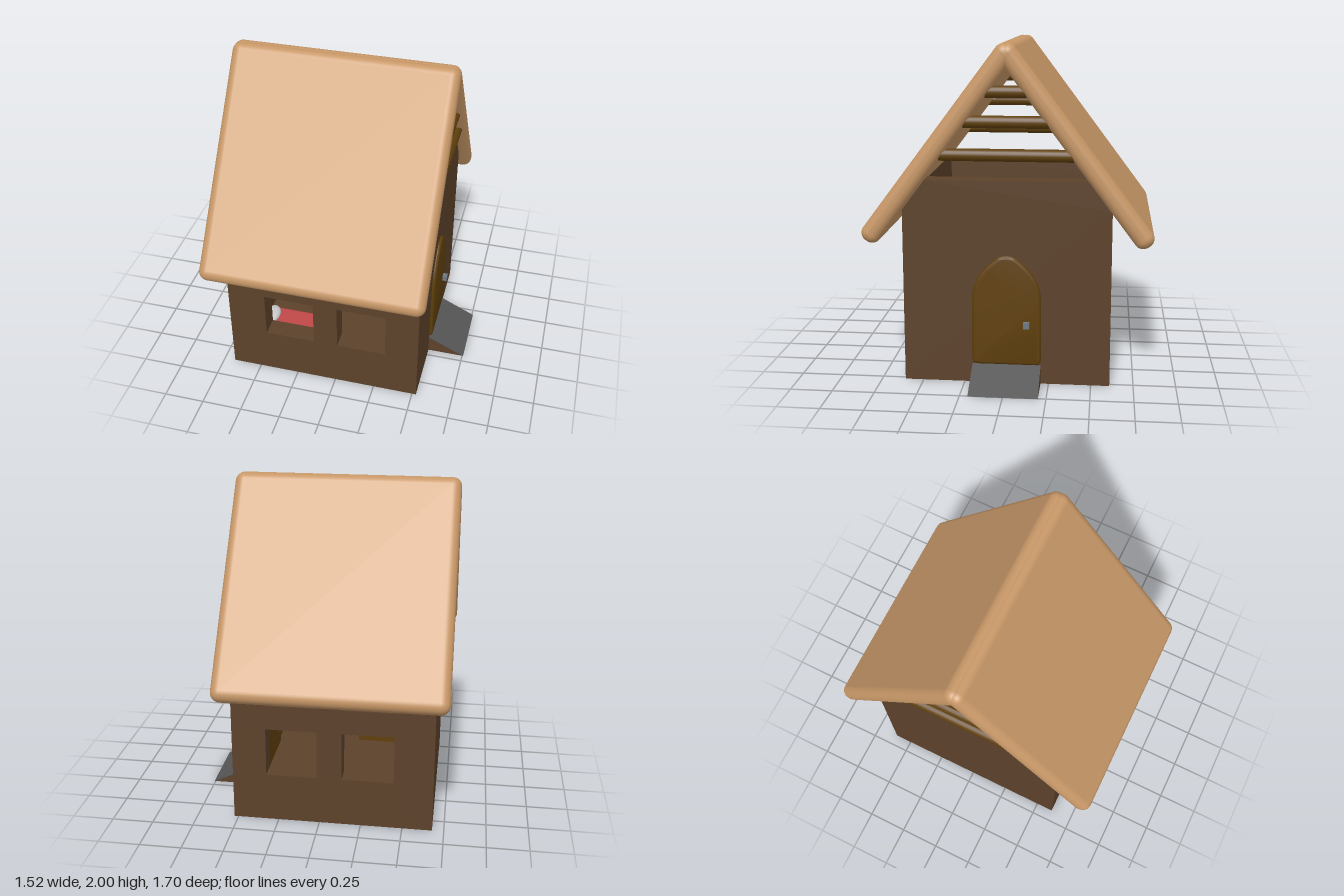
import * as THREE from 'three';
import { RoundedBoxGeometry } from 'three/addons/geometries/RoundedBoxGeometry.js';
import { toCreasedNormals } from 'three/addons/utils/BufferGeometryUtils.js';

const paint = (color) => new THREE.MeshStandardMaterial({ color });
const WALL = paint(0x5c412a), ROOF = paint(0xc79767), WOOD = paint(0x60400c);
const STONE = paint(0x555555), METAL = paint(0x707880), RED = paint(0xc04848), WHITE = paint(0xeeeeee);

// Outer wall faces, wall thickness and floor height
const X0 = -0.68, X1 = 0.525, Z = 0.61, T = 0.12, FLOOR = 0.12;
const XC = (X0 + X1) / 2;

function add(parent, name, geometry, material, x = 0, y = 0, z = 0) {
  const mesh = new THREE.Mesh(geometry, material);
  mesh.name = name;
  mesh.position.set(x, y, z);
  parent.add(mesh);
  return mesh;
}

function polygon(points) {
  return new THREE.Shape(points.map(([x, y]) => new THREE.Vector2(x, y)));
}

// Extrude a shape drawn in z and y along +x
function extrudeX(shape, depth, options = {}) {
  return new THREE.ExtrudeGeometry(shape, { depth, bevelEnabled: false, ...options }).rotateY(Math.PI / 2);
}

function buildWalls(house) {
  // Gable walls, their shoulders cut to the slope of the roof
  const gable = polygon([[-Z, 0], [Z, 0], [Z, 1.05], [0.48, 1.22], [-0.48, 1.22], [-Z, 1.05]]);
  add(house, 'doorWall', extrudeX(gable, T), WALL, X1 - T);
  add(house, 'plainWall', extrudeX(gable, T), WALL, X0);

  // Long walls with two rows of two windows
  const side = polygon([[X0 + T, 0], [X1 - T, 0], [X1 - T, 1.2], [X0 + T, 1.2]]);
  for (const [a, b] of [[-0.445, -0.135], [0.015, 0.32]]) {
    for (const y of [0.3, 0.75]) {
      side.holes.push(polygon([[a, y], [a, y + 0.3], [b, y + 0.3], [b, y]]));
    }
  }
  const sideGeometry = new THREE.ExtrudeGeometry(side, { depth: T, bevelEnabled: false });
  add(house, 'frontWall', sideGeometry, WALL, 0, 0, Z - T);
  add(house, 'backWall', sideGeometry, WALL, 0, 0, -Z);

  const floor = new THREE.BoxGeometry(X1 - X0 - 2 * T, FLOOR, 2 * (Z - T));
  add(house, 'floor', floor, WALL, XC, FLOOR / 2);
}

function buildRoof(house) {
  // Two rounded slabs leaning on each other
  const slab = new RoundedBoxGeometry(1.35, 0.12, 1.412, 5, 0.055);
  for (const s of [1, -1]) {
    const panel = add(house, s > 0 ? 'frontRoof' : 'backRoof', slab, ROOF, -0.085, 1.4225, s * 0.399);
    panel.rotation.x = s * Math.atan2(4, 3);
  }
  // Log ties across both open gables
  for (const x of [-0.69, 0.53]) {
    for (const [y, half] of [[1.73, 0.19], [1.56, 0.31], [1.37, 0.45]]) {
      const log = new THREE.CylinderGeometry(0.036, 0.036, half * 2, 20).rotateX(Math.PI / 2);
      add(house, 'roofLog', log, WOOD, x, y, 0);
    }
  }
}

function buildEntrance(house) {
  // Arched door with a soft edge, set through the wall
  const b = 0.02, w = 0.205 - b, y0 = FLOOR + b - 0.005, r = 0.015;
  const arch = new THREE.Shape();
  arch.moveTo(-w + r, y0);
  arch.lineTo(w - r, y0);
  arch.quadraticCurveTo(w, y0, w, y0 + r);
  arch.lineTo(w, 0.5);
  arch.bezierCurveTo(w, 0.62, 0.13, 0.68, 0.045, 0.75);
  arch.quadraticCurveTo(0, 0.773, -0.045, 0.75);
  arch.bezierCurveTo(-0.13, 0.68, -w, 0.62, -w, 0.5);
  arch.lineTo(-w, y0 + r);
  arch.quadraticCurveTo(-w, y0, -w + r, y0);
  const door = extrudeX(arch, 0.115, {
    bevelEnabled: true, bevelSize: b, bevelThickness: b, bevelSegments: 4, curveSegments: 14,
  });
  add(house, 'door', toCreasedNormals(door, 0.6), WOOD, 0.408);
  add(house, 'doorKnob', new THREE.BoxGeometry(0.035, 0.036, 0.036), METAL, 0.555, 0.37, -0.12);

  // Wedge ramp with a stone surface
  const wedge = polygon([[X1, 0], [0.75, 0], [X1, 0.108]]);
  add(house, 'ramp', new THREE.ExtrudeGeometry(wedge, { depth: 0.406, bevelEnabled: false }), WALL, 0, 0, -0.203);
  const cover = polygon([[X1, 0.108], [0.75, 0], [0.757, 0], [X1, 0.114]]);
  add(house, 'rampSurface', new THREE.ExtrudeGeometry(cover, { depth: 0.406, bevelEnabled: false }), STONE, 0, 0, -0.203);
}

function buildBed(house) {
  const bed = new THREE.Group();
  bed.name = 'bed';
  add(bed, 'bedFrame', new THREE.BoxGeometry(0.42, 0.05, 0.2), WOOD, -0.345, FLOOR + 0.025, 0.385);
  add(bed, 'blanket', new RoundedBoxGeometry(0.42, 0.06, 0.21, 3, 0.02), RED, -0.345, 0.195, 0.383);
  const pillow = add(bed, 'pillow', new THREE.SphereGeometry(1, 20, 14), WHITE, -0.49, 0.235, 0.37);
  pillow.scale.set(0.05, 0.03, 0.08);
  house.add(bed);
}

export function createModel() {
  const house = new THREE.Group();
  house.name = 'house';
  buildWalls(house);
  buildRoof(house);
  buildEntrance(house);
  buildBed(house);
  return house;
}
